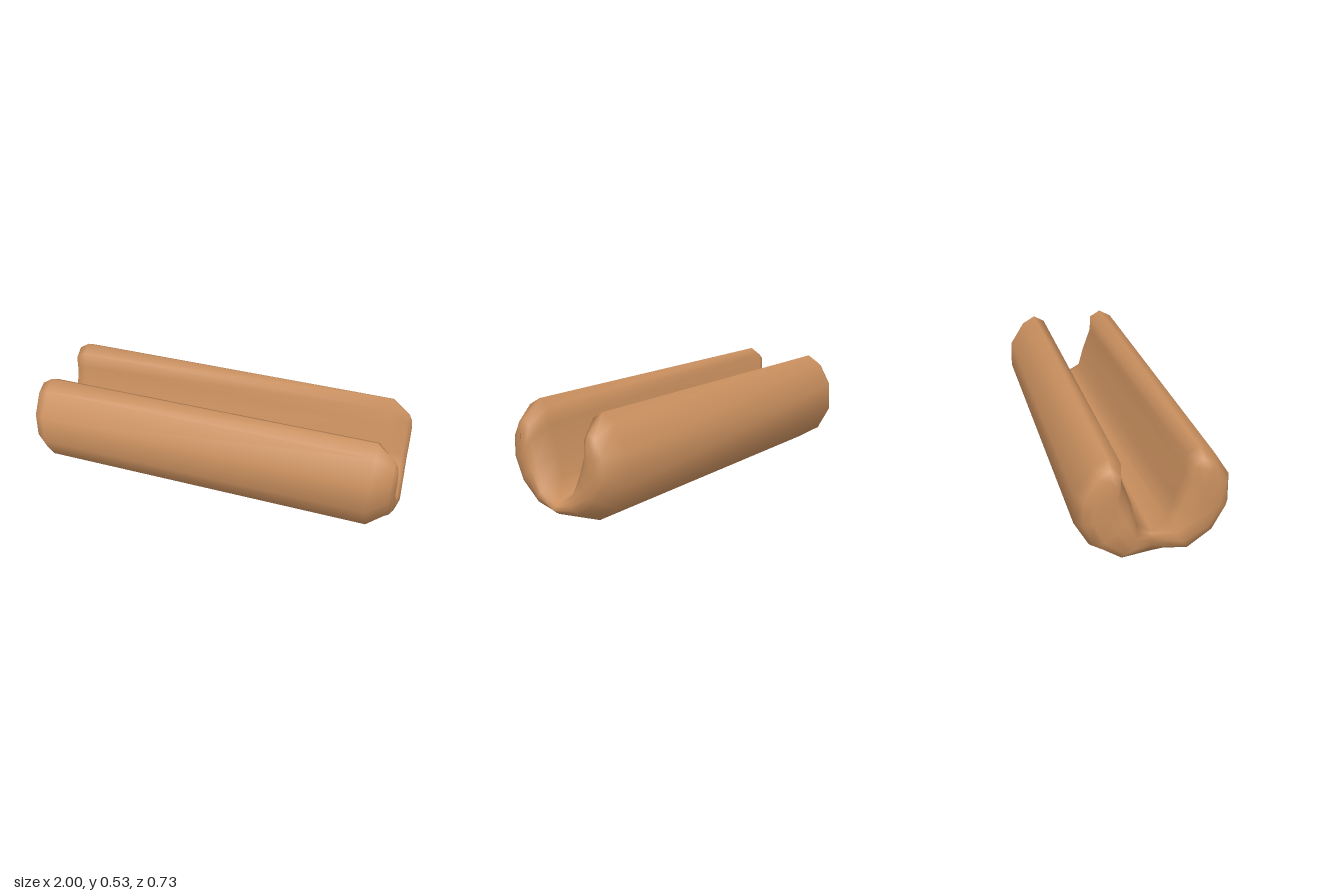
import * as THREE from 'three';
import { mergeVertices } from 'three/addons/utils/BufferGeometryUtils.js';

// Half cross-section as [z, y]: underside, outer wall, lip, inner wall, floor of the slit
const PROFILE = [
  [0, 0], [0.17, 0.01], [0.295, 0.09], [0.365, 0.22], [0.36, 0.365], [0.28, 0.49],
  [0.21, 0.53], [0.15, 0.495], [0.147, 0.41], [0.10, 0.28], [0.075, 0.16], [0, 0.108],
];
// Middle line of the wall; profile points i and 11 - i share one entry
const SPINE = [[0, 0.055], [0.11, 0.10], [0.19, 0.19], [0.22, 0.28], [0.22, 0.34], [0.218, 0.37]];
// Lengthwise stations: [x, how far the section has closed onto its middle line]
const STATIONS = [
  [-0.978, 1], [-0.972, 0.5], [-0.955, 0.22], [-0.9, 0],
  [0.87, 0], [0.965, 0.5], [0.982, 0.72], [0.988, 1],
];

function ring([x, inset], r) {
  const last = STATIONS.length - 1;
  const half = PROFILE.map(([z, y], i) => {
    const k = Math.min(i, 11 - i);
    const [sz, sy] = SPINE[k];
    let px = x;
    if (k === 0) px = Math.max(x, -0.9);        // notch in the middle of one end
    if (k === 1 && r === 0) px = -1;            // bulges beside the notch
    if (k === 0 && r === last) px = 1;          // tip of the other end
    if (k === 1 && r === last) px = 0.994;
    return [px, y + (sy - y) * inset, z + (sz - z) * inset];
  });
  const mirrored = half.slice(1, -1).reverse().map(([px, y, z]) => [px, y, -z]);
  return half.concat(mirrored);
}

function bunGeometry() {
  const rings = STATIONS.map(ring);
  const n = rings[0].length;
  const index = [];
  for (let r = 0; r < rings.length - 1; r++) {
    for (let i = 0; i < n; i++) {
      const j = (i + 1) % n;
      const a = r * n + i, b = a + n, d = r * n + j, c = d + n;
      index.push(a, b, c, a, c, d);
    }
  }
  let geometry = new THREE.BufferGeometry();
  geometry.setAttribute('position', new THREE.Float32BufferAttribute(rings.flat(2), 3));
  geometry.setIndex(index);
  geometry = mergeVertices(geometry, 1e-4); // joins the closed ends smoothly
  geometry.computeVertexNormals();
  return geometry;
}

export function createModel() {
  const group = new THREE.Group();
  group.name = 'splitBun';
  const crust = new THREE.MeshStandardMaterial({ color: 0xc98f5e });
  crust.name = 'toasted crust';
  const bun = new THREE.Mesh(bunGeometry(), crust);
  bun.name = 'bun';
  group.add(bun);
  return group;
}
